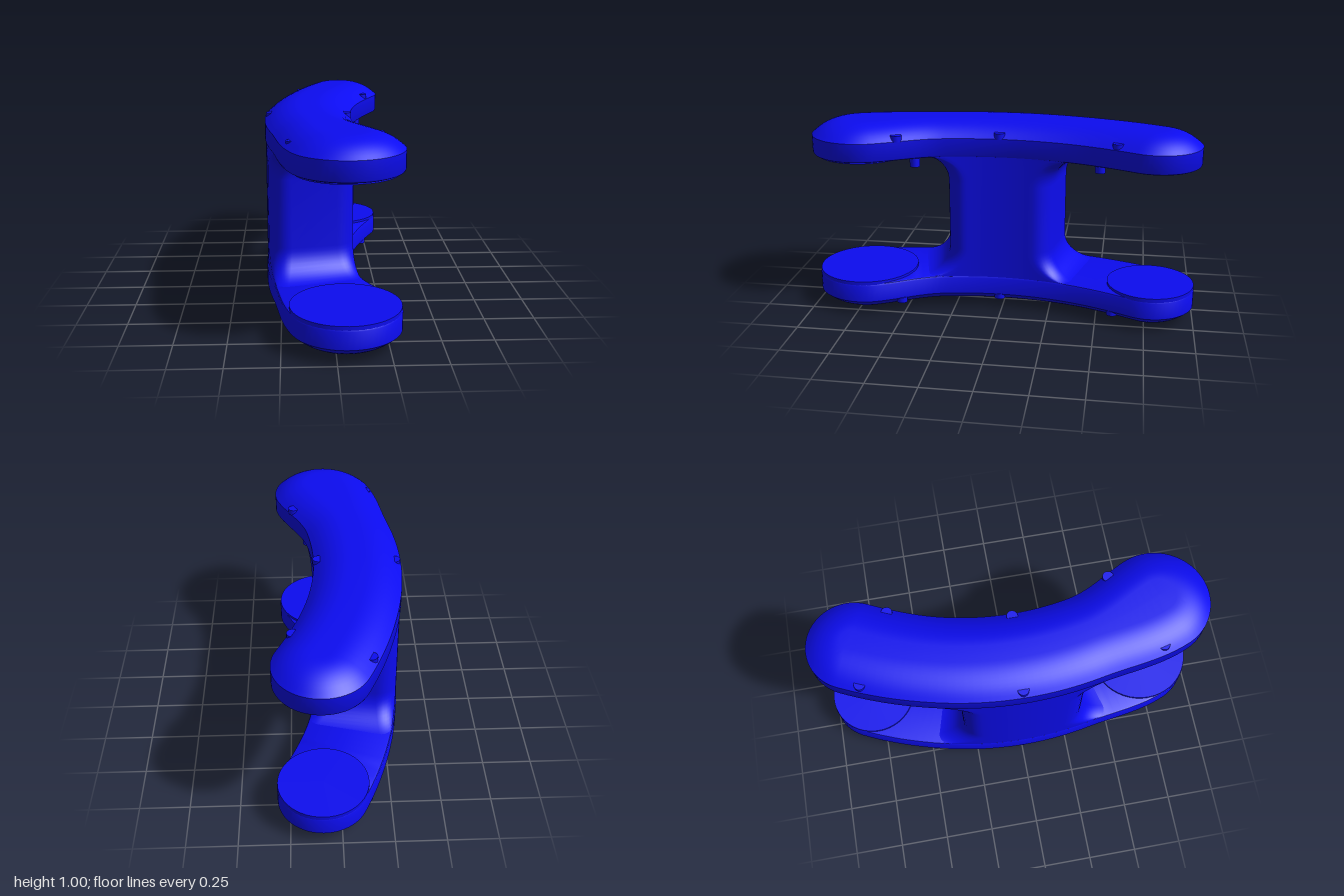
import * as THREE from 'three';
import { toCreasedNormals } from 'three/addons/utils/BufferGeometryUtils.js';

const BLUE = new THREE.MeshStandardMaterial({ color: 0x0c0cf0 });
const BACK = -0.775, FRONT = 0.735; // centres of the rounded arm ends

// Curved spine in plan, with half width varying along z
const spineX = z => -0.108 + 0.31 * (z - 0.02) ** 2;
const halfWidth = z => 0.22 + 0.045 * THREE.MathUtils.smoothstep(z, 0.35, FRONT)
  + 0.005 * THREE.MathUtils.smoothstep(-z, 0.35, -BACK);

// Point at distance v across and w along the spine from station z
function plan(z, v, w, y) {
  const slope = 0.62 * (z - 0.02), len = Math.hypot(1, slope);
  return new THREE.Vector3(spineX(z) + (v + w * slope) / len, y, z + (w - v * slope) / len);
}

// Closed outline of the arms, moved inward by inset
function outline(inset, y) {
  const pts = [], sides = 40, arc = 28;
  const rad = z => Math.max(0, halfWidth(z) - inset);
  for (let i = 0; i < sides; i++) {
    const z = THREE.MathUtils.lerp(FRONT, BACK, i / sides);
    pts.push(plan(z, rad(z), 0, y));
  }
  for (let i = 0; i < arc; i++) {
    const a = Math.PI * i / arc, r = rad(BACK);
    pts.push(plan(BACK, r * Math.cos(a), -r * Math.sin(a), y));
  }
  for (let i = 0; i < sides; i++) {
    const z = THREE.MathUtils.lerp(BACK, FRONT, i / sides);
    pts.push(plan(z, -rad(z), 0, y));
  }
  for (let i = 0; i < arc; i++) {
    const a = Math.PI * i / arc, r = rad(FRONT);
    pts.push(plan(FRONT, -r * Math.cos(a), r * Math.sin(a), y));
  }
  return pts;
}

// Skin a stack of equal-length rings, ordered bottom to top
function loft(rings) {
  const n = rings[0].length, index = [];
  for (let i = 0; i < rings.length - 1; i++) {
    for (let j = 0; j < n; j++) {
      const k = (j + 1) % n, a = i * n, b = a + n;
      index.push(a + j, a + k, b + k, a + j, b + k, b + j);
    }
  }
  const geo = new THREE.BufferGeometry().setFromPoints(rings.flat());
  geo.setIndex(index);
  return toCreasedNormals(geo, 0.5);
}

// Rounded rectangular column section that follows the spine
function columnRing(halfLength, corner, y) {
  const pts = [], w = 0.216, steps = 8;
  const mids = [[1, 1], [1, -1], [-1, -1], [-1, 1]];
  mids.forEach(([sv, sz], q) => {
    const start = [0, 1, 2, 3][q] * Math.PI / 2 - Math.PI / 2;
    for (let i = 0; i <= steps; i++) {
      const a = start + (i / steps) * Math.PI / 2;
      const v = sv * (w - corner) + corner * Math.cos(a);
      const u = sz * (halfLength - corner) - corner * Math.sin(a);
      pts.push(plan(0.015 + u, v, 0, y));
    }
    // extra points along the long sides so they bend with the spine
    if (q % 2 === 0) {
      const from = sz * (halfLength - corner);
      for (let i = 1; i < 14; i++) pts.push(plan(0.015 + from * (1 - i / 7), sv * w, 0, y));
    }
  });
  return pts;
}

export function createModel() {
  const model = new THREE.Group();
  const add = (name, geo, x = 0, y = 0, z = 0) => {
    const mesh = new THREE.Mesh(geo, BLUE);
    mesh.name = name;
    mesh.position.set(x, y, z);
    model.add(mesh);
  };
  const disc = (r, h, sides = 48) => new THREE.CylinderGeometry(r, r, h, sides);

  // Arm plate: flat inner face, upright rim, domed outer face
  const rings = [outline(1, 0.826), outline(0.012, 0.826), outline(0.004, 0.83), outline(0, 0.838), outline(0, 0.925)];
  const R = 0.25, reach = 0.18;
  for (let i = 1; i <= 10; i++) {
    const d = reach * i / 10;
    rings.push(outline(d, 1 - R + Math.sqrt(R * R - (reach - d) ** 2)));
  }
  rings.push(outline(1, 1));
  add('upperArms', loft(rings));
  const mirrored = rings.map(r => r.map(p => new THREE.Vector3(p.x, 1 - p.y, p.z))).reverse();
  add('lowerArms', loft(mirrored));

  // Column with filleted flares into both plates
  const half = [];
  for (let i = 0; i <= 12; i++) {
    const a = (i / 12) * Math.PI / 2;
    half.push([0.455 - 0.158 * Math.sin(a), 0.04 + 0.06 * Math.sin(a), 0.325 - 0.155 * Math.cos(a)]);
  }
  const column = [...half, ...half.map(([h, c, y]) => [h, c, 1 - y]).reverse()];
  add('column', loft(column.map(s => columnRing(...s))));

  // Round pads on the inner faces of the arm ends
  add('lowerFrontPad', disc(0.262, 0.03), spineX(FRONT), 0.172, FRONT);
  add('lowerBackPad', disc(0.223, 0.03), spineX(BACK), 0.172, BACK);
  add('upperFrontPad', disc(0.24, 0.03), spineX(FRONT), 0.831, FRONT);

  // Locating pins under the upper arms
  for (const [x, z, y] of [[0.14, 0.445, 0.775], [-0.115, 0.475, 0.775], [0.17, -0.5, 0.79], [-0.135, -0.605, 0.79]]) {
    add('locatingPin', disc(0.026, 0.08, 20), x, y + 0.04, z);
  }

  // Small screw seats around the domed edges, top and bottom
  for (const [x, z] of [[-0.13, -0.76], [0.215, -0.585], [-0.295, 0], [0.088, 0.015], [0.212, 0.52], [-0.19, 0.71]]) {
    add('upperScrewSeat', disc(0.028, 0.03, 20), x, 0.938, z);
    add('lowerScrewSeat', disc(0.028, 0.03, 20), x, 0.062, z);
  }
  return model;
}
